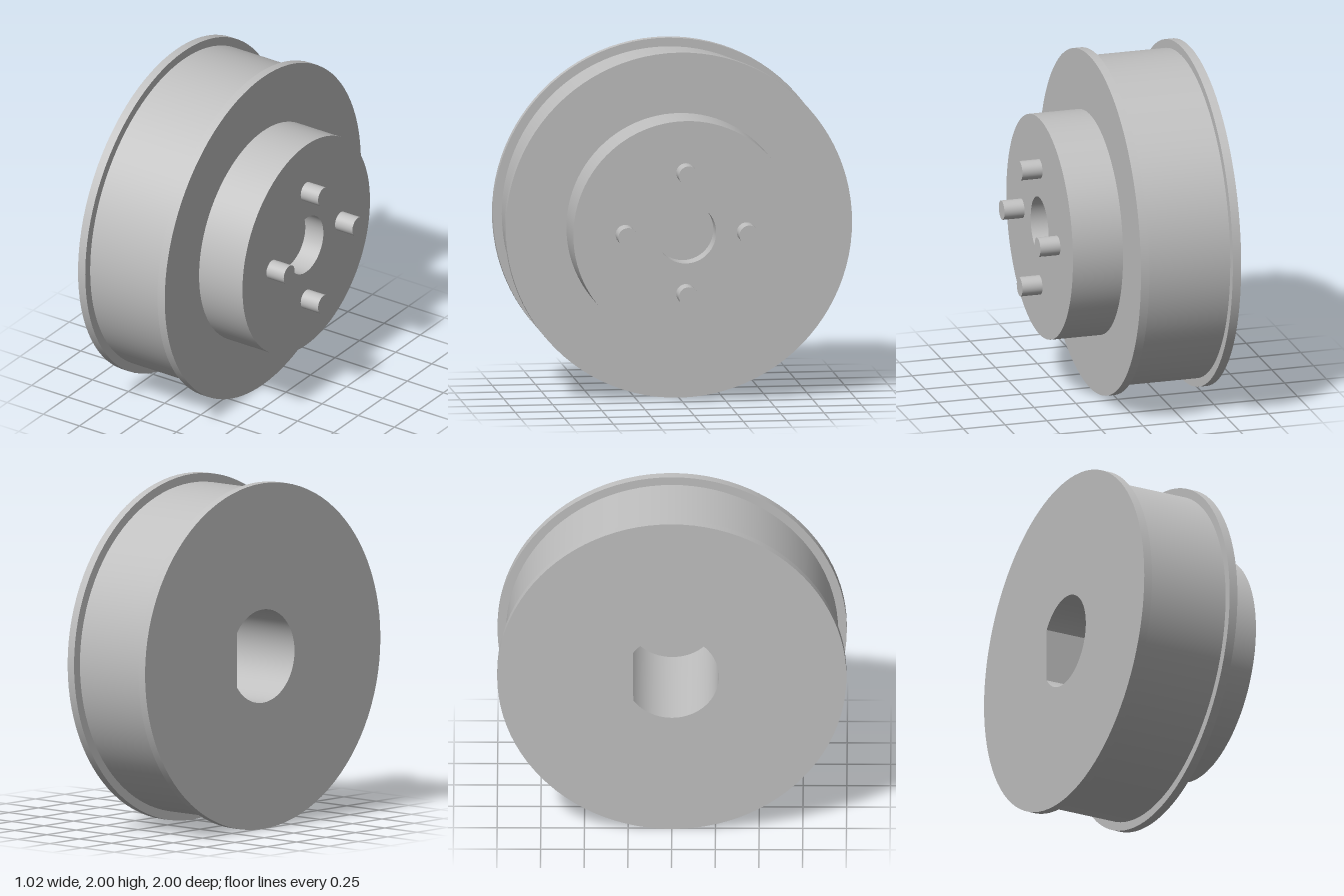
import * as THREE from 'three';
import { mergeGeometries } from 'three/addons/utils/BufferGeometryUtils.js';

const SIDES = 96;

// Revolves a [radius, x] profile about the x axis, keeping every profile corner sharp.
function revolve(profile) {
  const bands = [];
  for (let i = 0; i < profile.length - 1; i++) {
    const pair = [profile[i], profile[i + 1]].map(([r, x]) => new THREE.Vector2(r, x));
    bands.push(new THREE.LatheGeometry(pair, SIDES));
  }
  return mergeGeometries(bands).rotateZ(-Math.PI / 2);
}

export function createModel() {
  const model = new THREE.Group();
  model.name = 'wheelHub';
  const metal = new THREE.MeshStandardMaterial({ color: 0xc0c0c0 });
  metal.name = 'light grey';

  function add(name, geometry, x = 0, y = 0, z = 0) {
    const mesh = new THREE.Mesh(geometry, metal);
    mesh.name = name;
    mesh.position.set(x, y + 1, z);
    model.add(mesh);
  }

  const back = -0.51, boreR = 0.27, boreEnd = 0.2;

  // Stepped body, from the rear bore to the shallow front pocket
  add('rearBore', revolve([[0, boreEnd], [boreR, boreEnd], [boreR, back]]));
  add('rearFlange', revolve([[boreR, back], [1, back], [1, -0.46], [0.95, -0.46]]));
  add('drum', revolve([[0.95, -0.46], [0.95, 0.04]]));
  add('frontFlange', revolve([[0.95, 0.04], [1, 0.04], [1, 0.09], [0.65, 0.09]]));
  add('hub', revolve([[0.65, 0.09], [0.65, 0.39], [0.175, 0.39]]));
  add('frontPocket', revolve([[0.175, 0.39], [0.175, 0.265], [0, 0.265]]));

  // Flat on one side of the rear bore
  const angle = Math.acos(0.218 / boreR);
  const segment = new THREE.Shape();
  segment.absarc(0, 0, boreR, -angle, angle, false);
  const flat = new THREE.ExtrudeGeometry(segment, {
    depth: boreEnd - back, bevelEnabled: false, curveSegments: 16,
  }).rotateY(Math.PI / 2);
  add('boreFlat', flat, back);

  // Four studs around the pocket
  const stud = new THREE.CylinderGeometry(0.056, 0.056, 0.125, 40).rotateZ(-Math.PI / 2);
  for (let i = 0; i < 4; i++) {
    const a = i * Math.PI / 2;
    add('stud', stud, 0.4475, 0.35 * Math.sin(a), 0.35 * Math.cos(a));
  }
  return model;
}
